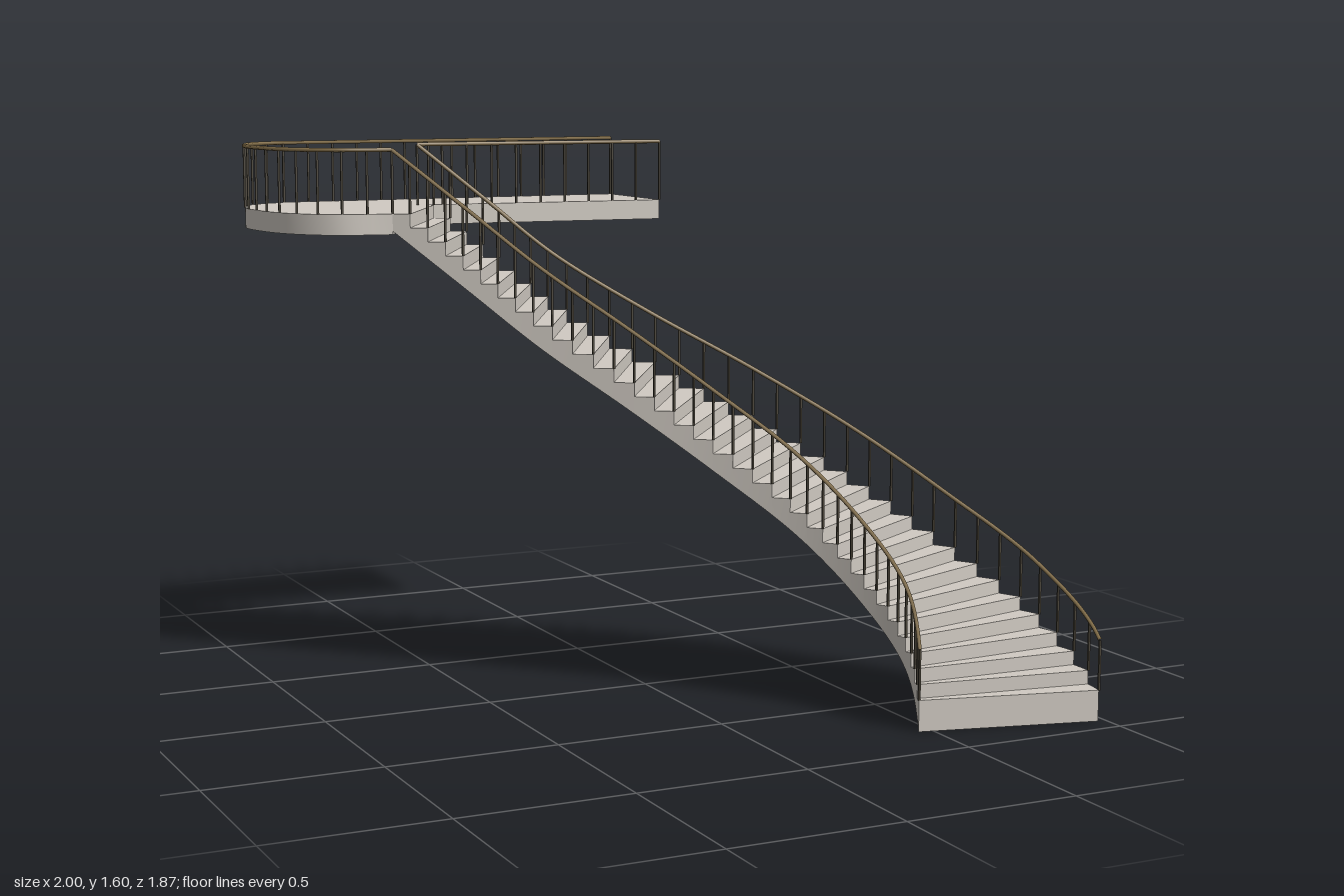
import * as THREE from 'three';
import { toCreasedNormals } from 'three/addons/utils/BufferGeometryUtils.js';

const STEPS = 34, RISE = 0.04, FIRST = 0.09, CLIMB = STEPS * RISE;
const FLOOR = 1.41, SLAB = 0.06, RAIL_TOP = 1.6, RAIL_R = 0.006;

// Plan curves (x, z) of both stair edges; the first point only steers the start tangent
const plan = pts => new THREE.CatmullRomCurve3(
  pts.map(([x, z]) => new THREE.Vector3(x, 0, z)), false, 'catmullrom', 0.5);
const innerPlan = plan([[0.40, 0.90], [0.457, 0.81], [0.46, 0.72], [0.39, 0.58], [0.27, 0.425],
  [0.09, 0.265], [-0.11, 0.125], [-0.32, -0.015], [-0.505, -0.13], [-0.69, -0.245]]);
const outerPlan = plan([[0.80, 1.20], [0.975, 0.93], [0.965, 0.62], [0.83, 0.335], [0.655, 0.09],
  [0.425, -0.125], [0.155, -0.297], [-0.095, -0.43], [-0.285, -0.527], [-0.475, -0.62]]);
const at = (curve, t, y) => curve.getPoint((1 + 8 * t) / 9).setY(y);

const bodyMat = new THREE.MeshStandardMaterial({ color: 0xd0cac2 });
const postMat = new THREE.MeshStandardMaterial({ color: 0x4a4438 });
const railMat = new THREE.MeshStandardMaterial({ color: 0x85704a });

function mesh(name, geometry, material) {
  const m = new THREE.Mesh(geometry, material);
  m.name = name;
  return m;
}

// Solid flight: treads, risers, stepped sides and a smooth twisted soffit
function flight() {
  const pos = [];
  const quad = (a, b, c, d) => [a, b, c, a, c, d].forEach(v => pos.push(v.x, v.y, v.z));
  const SUB = 2;
  for (let i = 0; i < STEPS; i++) {
    const top = FIRST + i * RISE;
    const t = i / STEPS;
    const below = i ? top - RISE : 0;
    quad(at(innerPlan, t, below), at(outerPlan, t, below), at(outerPlan, t, top), at(innerPlan, t, top));
    for (let s = 0; s < SUB; s++) {
      const t0 = (i + s / SUB) / STEPS, t1 = (i + (s + 1) / SUB) / STEPS;
      const y0 = CLIMB * t0, y1 = CLIMB * t1;
      const I0 = at(innerPlan, t0, top), I1 = at(innerPlan, t1, top);
      const O0 = at(outerPlan, t0, top), O1 = at(outerPlan, t1, top);
      const i0 = at(innerPlan, t0, y0), i1 = at(innerPlan, t1, y1);
      const o0 = at(outerPlan, t0, y0), o1 = at(outerPlan, t1, y1);
      quad(I0, O0, O1, I1);
      quad(o0, o1, O1, O0);
      quad(i1, i0, I0, I1);
      quad(i0, i1, o1, o0);
    }
  }
  const g = new THREE.BufferGeometry();
  g.setAttribute('position', new THREE.Float32BufferAttribute(pos, 3));
  return mesh('stairFlight', toCreasedNormals(g, 0.5), bodyMat);
}

// Rounded end of the landing, from the back edge round to the stair head
const roundEnd = new THREE.CatmullRomCurve3(
  [[-0.8, -0.935], [-0.925, -0.855], [-0.985, -0.73], [-0.995, -0.61], [-0.955, -0.41],
    [-0.85, -0.285], [-0.69, -0.245]].map(([x, z]) => new THREE.Vector3(x, RAIL_TOP - RAIL_R, z)));

// Landing slab with a gallery running to the left
function landing() {
  const outline = [[0.315, -0.935], ...roundEnd.getPoints(36).map(p => [p.x, p.z]),
    [-0.475, -0.62], [0.315, -0.56]];
  const shape = new THREE.Shape(outline.map(([x, z]) => new THREE.Vector2(x, -z)));
  const g = new THREE.ExtrudeGeometry(shape, { depth: SLAB, bevelEnabled: false });
  g.rotateX(-Math.PI / 2);
  g.translate(0, FLOOR - SLAB, 0);
  return mesh('landing', toCreasedNormals(g, 0.5), bodyMat);
}

// Handrail along a curve with thin posts; foot(i) gives the height of each post's base
function railing(name, curve, segments, posts, pointAt, foot) {
  const group = new THREE.Group();
  group.name = name;
  group.add(mesh('handrail', new THREE.TubeGeometry(curve, segments, RAIL_R, 6), railMat));
  for (let i = 0; i <= posts; i++) {
    const p = pointAt(i / posts);
    const base = foot(i), h = p.y - base;
    const post = mesh('baluster', new THREE.BoxGeometry(0.006, h, 0.006), postMat);
    post.position.set(p.x, base + h / 2, p.z);
    group.add(post);
  }
  return group;
}

function stairRailing(name, edge) {
  const start = RAIL_TOP - RAIL_R - CLIMB;
  const pointAt = t => at(edge, t, start + CLIMB * t);
  const pts = Array.from({ length: STEPS * 2 + 1 }, (_, i) => pointAt(i / (STEPS * 2)));
  return railing(name, new THREE.CatmullRomCurve3(pts), 100, STEPS, pointAt,
    i => Math.min(FIRST + i * RISE, FLOOR));
}

function landingRailing(name, curve, segments, posts) {
  return railing(name, curve, segments, posts, t => curve.getPointAt(t), () => FLOOR);
}

export function createModel() {
  const model = new THREE.Group();
  model.name = 'curvedStaircase';
  const y = RAIL_TOP - RAIL_R;
  const line = (x0, z0, x1, z1) =>
    new THREE.LineCurve3(new THREE.Vector3(x0, y, z0), new THREE.Vector3(x1, y, z1));

  model.add(
    flight(),
    landing(),
    stairRailing('innerStairRailing', innerPlan),
    stairRailing('outerStairRailing', outerPlan),
    landingRailing('backRailing', line(0.315, -0.932, -0.8, -0.932), 1, 14),
    landingRailing('roundEndRailing', roundEnd, 40, 13),
    landingRailing('galleryRailing', line(-0.475, -0.62, 0.315, -0.56), 1, 10),
  );
  return model;
}
